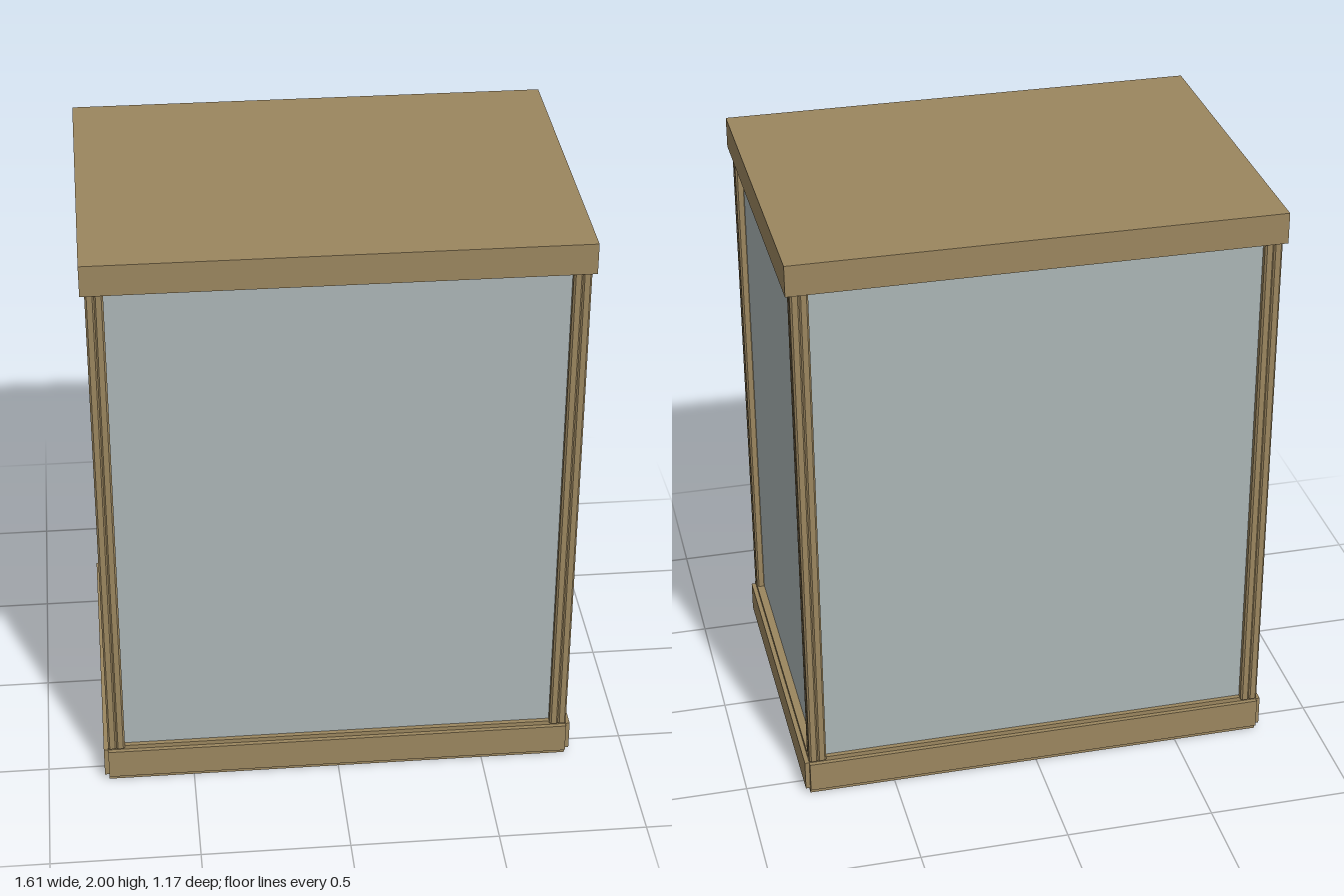
import * as THREE from 'three';

const wood = new THREE.MeshStandardMaterial({ color: 0x9b865f, flatShading: true });
const glass = new THREE.MeshStandardMaterial({ color: 0xabb5b6 });

function box(parent, name, material, size, position) {
  const mesh = new THREE.Mesh(new THREE.BoxGeometry(...size), material);
  mesh.name = name;
  mesh.position.set(...position);
  parent.add(mesh);
  return mesh;
}

// Plank along x with its outer face towards +z and slightly eased long edges
function plankGeometry(length, height, depth, ease) {
  const h = height / 2, d = depth / 2;
  const shape = new THREE.Shape([
    [-d, -h], [d - ease, -h], [d, -h + ease], [d, h - ease], [d - ease, h], [-d, h],
  ].map(([x, y]) => new THREE.Vector2(x, y)));
  return new THREE.ExtrudeGeometry(shape, { depth: length, bevelEnabled: false })
    .translate(0, 0, -length / 2)
    .rotateY(-Math.PI / 2);
}

// Square post with eased corners and a shallow groove down every face
function postGeometry(size, height) {
  const h = size / 2, ease = 0.006, groove = 0.005;
  const side = [[-h + ease, -h], [-groove, -h], [0, -h + groove], [groove, -h], [h - ease, -h]];
  const points = [];
  for (let i = 0; i < 4; i++) {
    for (const [x, y] of side) {
      points.push(new THREE.Vector2(x, y).rotateAround(new THREE.Vector2(), i * Math.PI / 2));
    }
  }
  return new THREE.ExtrudeGeometry(new THREE.Shape(points), { depth: height, bevelEnabled: false })
    .rotateX(-Math.PI / 2);
}

export function createModel() {
  const group = new THREE.Group();
  group.name = 'displayCase';

  // Lid and base
  box(group, 'lid', wood, [1.614, 0.105, 1.174], [0, 1.9475, 0]);
  box(group, 'base', wood, [1.584, 0.14, 1.144], [0, 0.07, 0]);

  // Skirting planks on the four sides of the base
  const skirtings = new THREE.Group();
  skirtings.name = 'skirtings';
  for (let i = 0; i < 4; i++) {
    const isSide = i % 2 === 1;
    const length = isSide ? 1.144 : 1.584;
    const reach = isSide ? 0.807 : 0.587;
    const plank = new THREE.Mesh(plankGeometry(length, 0.105, 0.02, 0.004), wood);
    plank.name = isSide ? 'sideSkirting' : 'longSkirting';
    const angle = i * Math.PI / 2;
    plank.rotation.y = angle;
    plank.position.set(Math.sin(angle) * (reach - 0.01), 0.0725, Math.cos(angle) * (reach - 0.01));
    // ExtrudeGeometry faces -x before turning, so aim the eased face outwards
    plank.geometry.computeBoundingBox();
    plank.geometry.rotateY(Math.PI);
    if (plank.geometry.attributes.position.count) skirtings.add(plank);
  }
  group.add(skirtings);

  // Corner posts
  const post = postGeometry(0.058, 1.765);
  for (const sx of [-1, 1]) {
    for (const sz of [-1, 1]) {
      const mesh = new THREE.Mesh(post, wood);
      mesh.name = `${sz > 0 ? 'front' : 'back'}${sx > 0 ? 'Left' : 'Right'}Post`;
      mesh.position.set(sx * 0.763, 0.135, sz * 0.553);
      group.add(mesh);
    }
  }

  // Recessed panes between the posts
  for (const s of [-1, 1]) {
    box(group, s > 0 ? 'frontPane' : 'backPane', glass, [1.5, 1.76, 0.012], [0, 1.018, s * 0.55]);
    box(group, s > 0 ? 'leftPane' : 'rightPane', glass, [0.012, 1.76, 1.08], [s * 0.76, 1.018, 0]);
  }
  return group;
}
